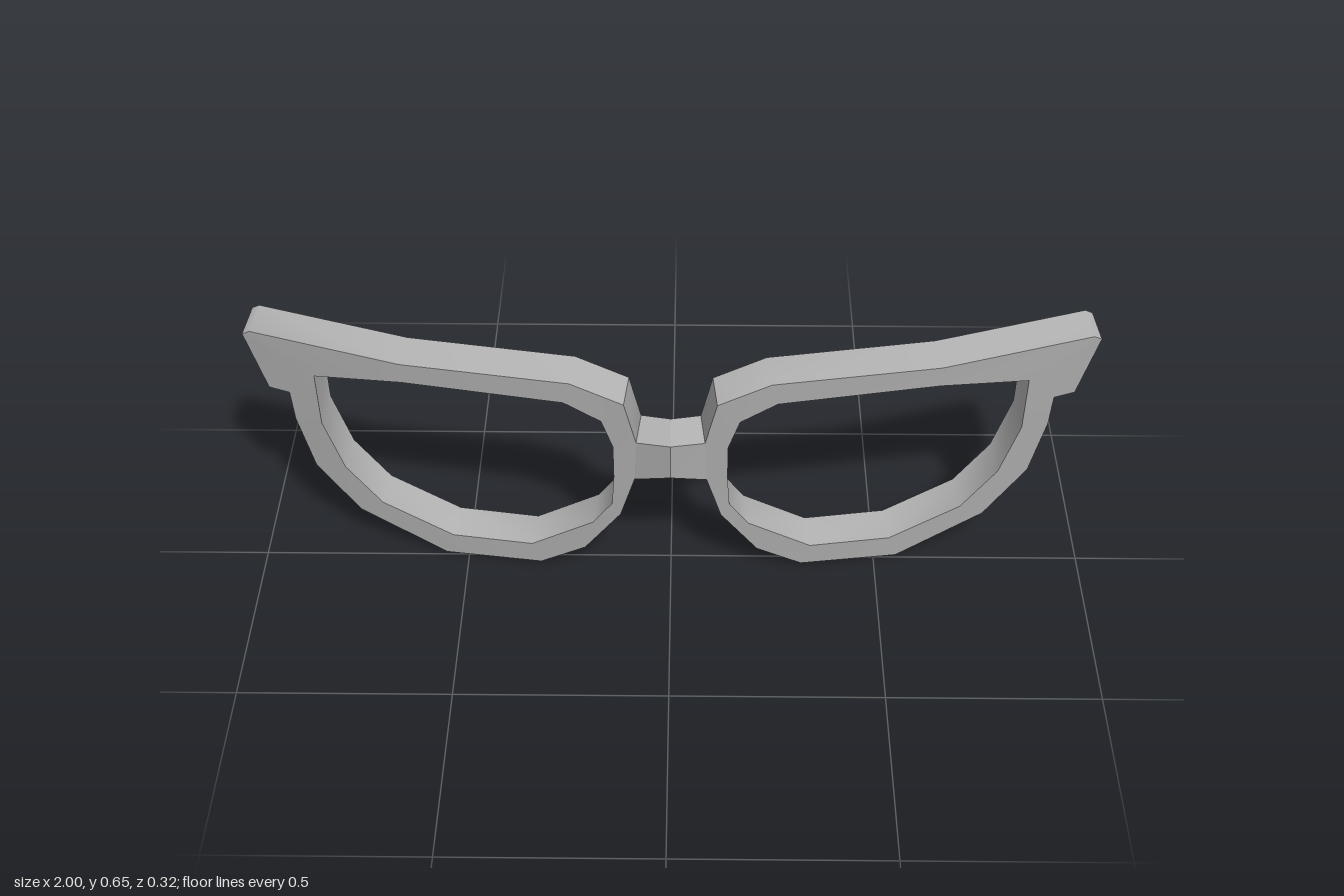
import * as THREE from 'three';
import { toCreasedNormals } from 'three/addons/utils/BufferGeometryUtils.js';

// Each row is one cross-section: outer x, y and inner x, y on the front plane (+x side)
const RIM = [
  [1.0, 0.634, 0.834, 0.548], [0.98, 0.648, 0.834, 0.548], [0.62, 0.64, 0.62, 0.582],
  [0.23, 0.628, 0.246, 0.566], [0.107, 0.575, 0.16, 0.515], [0.08, 0.45, 0.134, 0.433],
  [0.085, 0.325, 0.134, 0.33], [0.12, 0.2, 0.14, 0.235], [0.21, 0.063, 0.187, 0.16],
  [0.32, 0.004, 0.34, 0.067], [0.556, 0, 0.535, 0.067], [0.765, 0.105, 0.706, 0.145],
  [0.866, 0.232, 0.79, 0.25], [0.9, 0.385, 0.834, 0.39], [0.904, 0.472, 0.834, 0.548],
  [0.955, 0.473, 0.834, 0.548],
];
const BRIDGE = [[0.08, 0.45, 0.085, 0.325], [0, 0.463, 0, 0.357]];

// Wrap of the frame: forward offset by distance from the centre
const WRAP = [
  [0, 0.078], [0.08, 0.049], [0.12, 0.048], [0.23, 0.031], [0.32, 0.029], [0.556, -0.009],
  [0.62, -0.025], [0.765, -0.064], [0.866, -0.1], [0.9, -0.112], [1.01, -0.155],
];
const TILT = 0.175;
const DEPTH = 0.098;

function wrapAt(x) {
  let i = 1;
  while (i < WRAP.length - 1 && x > WRAP[i][0]) i++;
  const [x0, z0] = WRAP[i - 1], [x1, z1] = WRAP[i];
  return z0 + ((x - x0) / (x1 - x0)) * (z1 - z0);
}

// Place a front-plane point on the wrapped, tilted front (back = 0) or back (back = 1)
function bend(x, y, back, side) {
  const inward = x > 0 ? 0.01 * back : 0;
  return new THREE.Vector3(
    side * (x - inward), y + 0.007 * back, TILT * y + wrapAt(x) - DEPTH * back);
}

// Join four-cornered cross-sections into a bar, closed into a ring if asked
function bentBar(rows, closed, side) {
  const sections = rows.map(([ox, oy, ix, iy]) => [
    bend(ox, oy, 0, side), bend(ix, iy, 0, side), bend(ix, iy, 1, side), bend(ox, oy, 1, side),
  ]);
  const points = [];
  const triangle = (a, b, c) => {
    if (a.equals(b) || b.equals(c) || c.equals(a)) return;
    points.push(...(side > 0 ? [a, b, c] : [a, c, b]));
  };
  const count = closed ? sections.length : sections.length - 1;
  for (let i = 0; i < count; i++) {
    const s = sections[i], t = sections[(i + 1) % sections.length];
    for (let k = 0; k < 4; k++) {
      const n = (k + 1) % 4;
      triangle(s[k], t[k], t[n]);
      triangle(s[k], t[n], s[n]);
    }
  }
  return toCreasedNormals(new THREE.BufferGeometry().setFromPoints(points), 0.9);
}

export function createModel() {
  const model = new THREE.Group();
  model.name = 'glassesFrame';
  const grey = new THREE.MeshStandardMaterial({ color: 0xb4b4b4 });
  grey.name = 'frameGrey';

  const add = (name, geo) => {
    const mesh = new THREE.Mesh(geo, grey);
    mesh.name = name;
    model.add(mesh);
  };

  // Mirrored rims and bridge halves
  for (const [label, side] of [['left', 1], ['right', -1]]) {
    add(label + 'Rim', bentBar(RIM, true, side));
    add(label + 'BridgeHalf', bentBar(BRIDGE, false, side));
  }
  return model;
}
